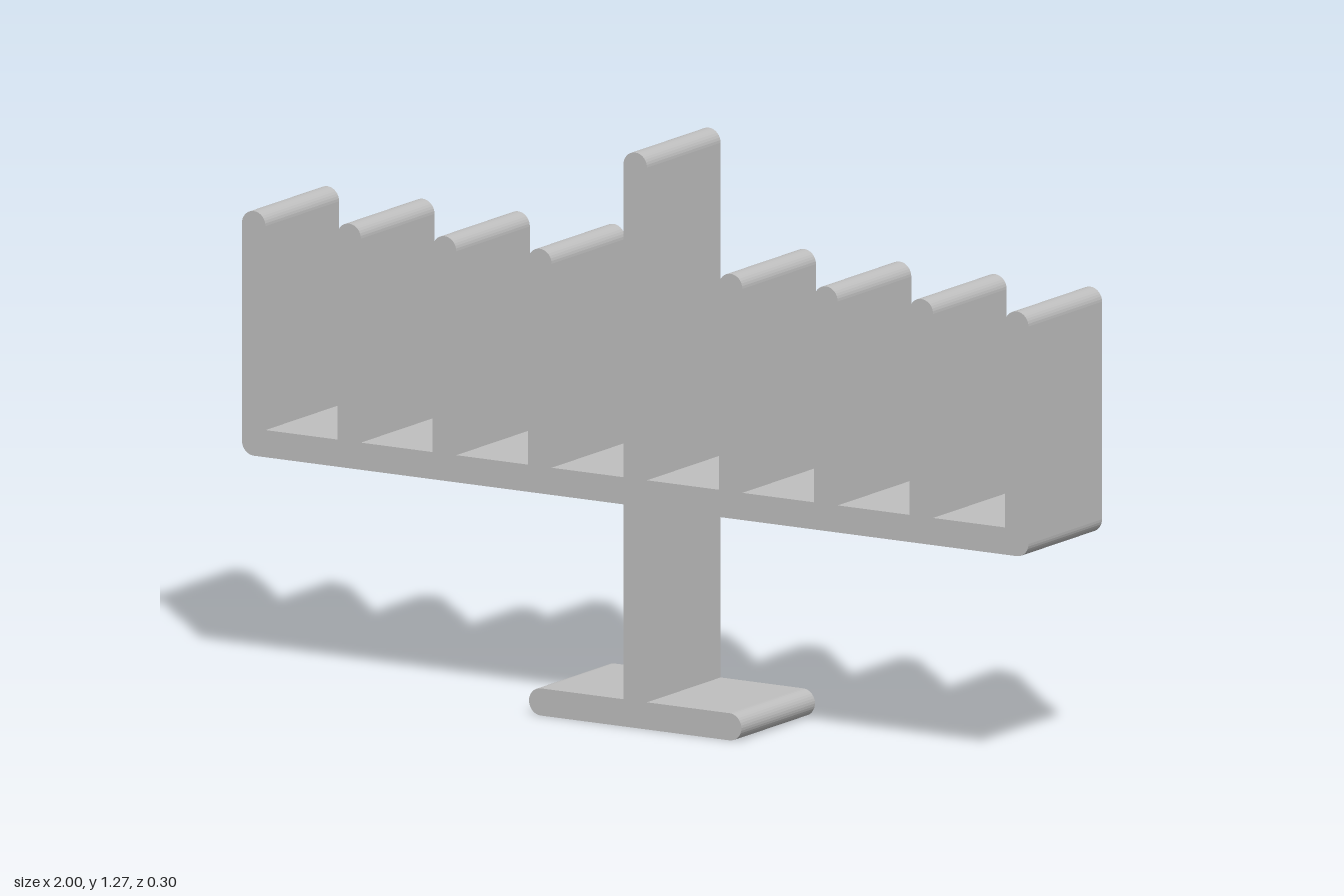
import * as THREE from 'three';

const DEPTH = 0.3;
const T = 0.06; // plate thickness
const BAR_Y = 0.49;

// Rectangle outline whose bottom and top corners have their own radii
function plateShape(x0, x1, y0, y1, rBottom, rTop) {
  const s = new THREE.Shape();
  const H = Math.PI / 2;
  const corner = (x, y, r, start) => {
    if (r > 0) s.absarc(x, y, r, start, start + H, false);
    else s.lineTo(x, y);
  };
  s.moveTo(x0 + rBottom, y0);
  corner(x1 - rBottom, y0 + rBottom, rBottom, -H);
  corner(x1 - rTop, y1 - rTop, rTop, 0);
  corner(x0 + rTop, y1 - rTop, rTop, H);
  corner(x0 + rBottom, y0 + rBottom, rBottom, 2 * H);
  return s;
}

export function createModel() {
  const group = new THREE.Group();
  const grey = new THREE.MeshStandardMaterial({ color: 0xbfbfbf });
  grey.name = 'grey';

  const addPlate = (name, x0, x1, y0, y1, rBottom = 0, rTop = 0) => {
    const geometry = new THREE.ExtrudeGeometry(plateShape(x0, x1, y0, y1, rBottom, rTop), {
      depth: DEPTH, bevelEnabled: false, curveSegments: 4,
    });
    geometry.translate(0, 0, -DEPTH / 2);
    const mesh = new THREE.Mesh(geometry, grey);
    mesh.name = name;
    group.add(mesh);
  };

  // Foot with round ends, stem and long crossbar
  addPlate('foot', -0.27, 0.27, 0, T, T / 2, T / 2);
  addPlate('stem', -T / 2, T / 2, T, BAR_Y);
  addPlate('crossbar', -1, 1, BAR_Y, BAR_Y + T, 0.03, 0);

  // Upright fins with round tops, the middle one taller
  for (let i = -4; i <= 4; i++) {
    const x = i * 0.2425;
    const top = i === 0 ? 1.27 : 1.03;
    addPlate(i === 0 ? 'centreFin' : 'fin', x - T / 2, x + T / 2, BAR_Y + T, top, 0, T / 2);
  }
  return group;
}
